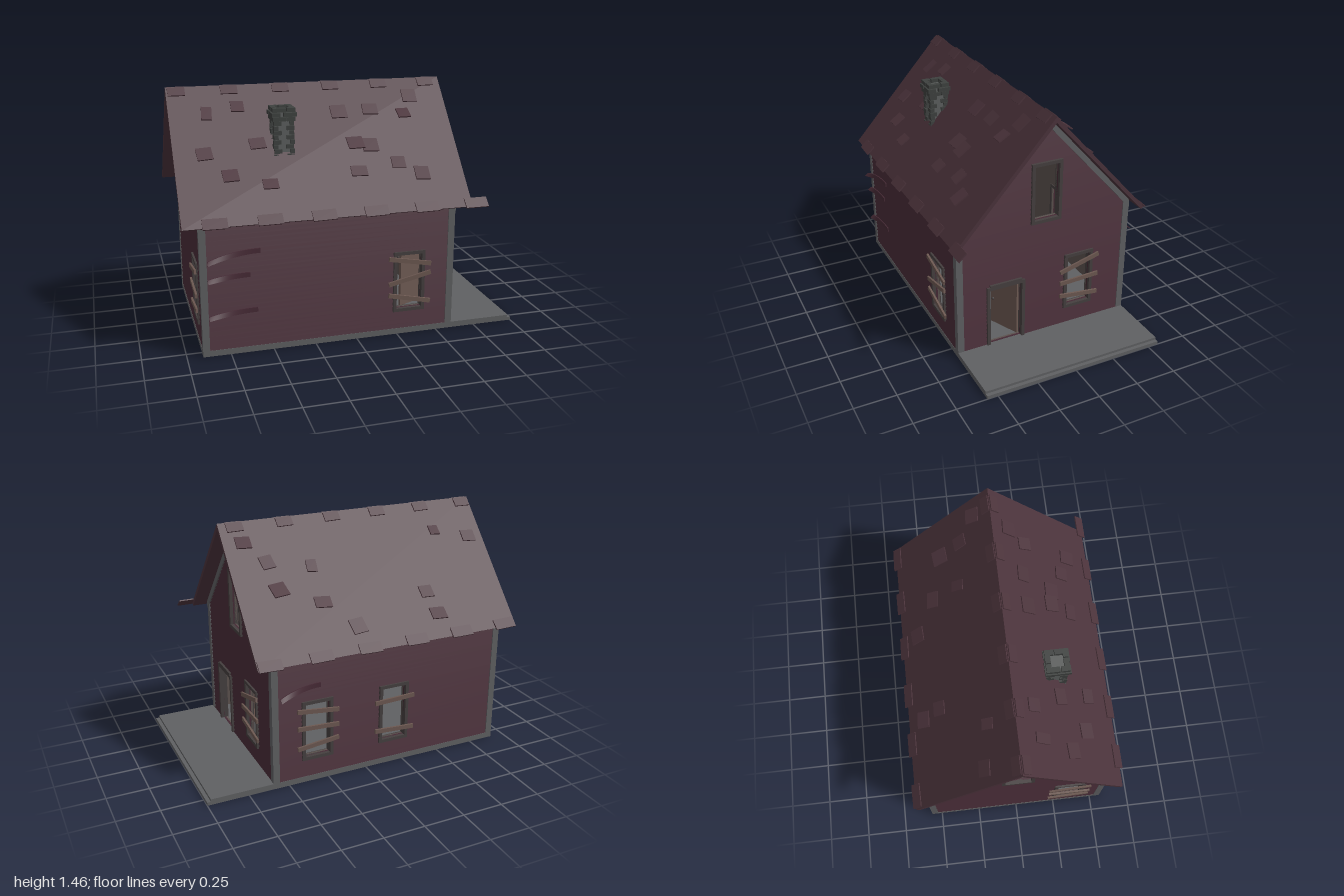
import * as THREE from 'three';
import { mergeGeometries } from 'three/addons/utils/BufferGeometryUtils.js';

const mat = (name, color) => Object.assign(new THREE.MeshStandardMaterial({ color }), { name });
const M = {
  siding: mat('burgundy siding', 0x462a35),
  roof: mat('roof shingle', 0x4b333b),
  trim: mat('grey trim', 0x5f6062),
  frame: mat('dark frame', 0x453f3f),
  plank: mat('weathered plank', 0x6c5851),
  inside: mat('interior', 0x5c524e),
  brick: mat('chimney brick', 0x3e413f),
  mortar: mat('chimney mortar', 0x5c5f5e),
};

const FLOOR = 0.035, HX = 0.755, HZ = 0.565, CX = -0.155, PEAK = 1.42, SLOPE = 1.11;
const ANGLE = Math.atan(SLOPE), RIDGE = 1.455;

let seed = 7;
const rnd = () => (seed = (seed * 16807) % 2147483647) / 2147483647;

function add(parent, name, geo, material) {
  const m = new THREE.Mesh(geo, material);
  m.name = name;
  parent.add(m);
  return m;
}
// box given by its minimum and maximum corners
function slab(x0, x1, y0, y1, z0, z1) {
  return new THREE.BoxGeometry(x1 - x0, y1 - y0, z1 - z0)
    .translate((x0 + x1) / 2, (y0 + y1) / 2, (z0 + z1) / 2);
}
function poly(points) {
  return new THREE.Shape(points.map(([x, y]) => new THREE.Vector2(x, y)));
}
function extrude(shape, z0, z1) {
  return new THREE.ExtrudeGeometry(shape, { depth: z1 - z0, bevelEnabled: false }).translate(0, 0, z0);
}
function bend(geo, rule) {
  const p = geo.attributes.position, v = new THREE.Vector3();
  for (let i = 0; i < p.count; i++) {
    v.fromBufferAttribute(p, i);
    rule(v);
    p.setXYZ(i, v.x, v.y, v.z);
  }
  geo.computeVertexNormals();
  return geo;
}

// One wall in local space: u across, y up, outer face at z = 0
function wall(name, half, gable, openings) {
  const g = new THREE.Group();
  g.name = name;
  const top = gable ? PEAK : 0.8;
  const width = y => (gable ? Math.max(0, Math.min(half - 0.01, (PEAK - y) / SLOPE)) : half - 0.01);
  const h = half - 0.012;
  const shape = poly(gable
    ? [[-h, FLOOR], [h, FLOOR], [h, 0.79], [0, PEAK], [-h, 0.79]]
    : [[-h, FLOOR], [h, FLOOR], [h, top], [-h, top]]);
  for (const o of openings) {
    const b = Math.max(o.y0, FLOOR + 0.002);
    shape.holes.push(new THREE.Path([[o.u0, b], [o.u0, o.y1], [o.u1, o.y1], [o.u1, b]]
      .map(([x, y]) => new THREE.Vector2(x, y))));
  }
  add(g, 'wallSheathing', extrude(shape, -0.024, -0.012), M.siding);
  add(g, 'wallLining', extrude(shape, -0.036, -0.024), M.inside);

  // clapboards, each thicker at its lower edge
  const boards = [], step = 0.0283;
  for (let y0 = FLOOR; y0 < top - 0.01; y0 += step) {
    const y1 = Math.min(y0 + step, top), mid = (y0 + y1) / 2;
    const cuts = openings.filter(o => mid > o.y0 - 0.01 && mid < o.y1 + 0.01).sort((a, b) => a.u0 - b.u0);
    let start = -half;
    for (const c of [...cuts, { u0: half + 0.01, u1: 0 }]) {
      const a = start, b = c.u0 - 0.01;
      start = c.u1 + 0.01;
      boards.push(bend(new THREE.BoxGeometry(1, 1, 1), v => {
        const y = v.y > 0 ? y1 : y0, w = width(y);
        v.x = THREE.MathUtils.clamp(v.x > 0 ? b : a, -w, w);
        v.z = v.z < 0 ? -0.013 : (v.y > 0 ? -0.011 : -0.002);
        v.y = y;
      }));
    }
  }
  add(g, 'clapboards', mergeGeometries(boards), M.siding);

  // casings and boards nailed over the openings
  for (const o of openings) {
    const t = 0.02, parts = [
      slab(o.u0 - t, o.u0, o.y0 - (o.door ? 0 : t), o.y1 + t, -0.042, 0.008),
      slab(o.u1, o.u1 + t, o.y0 - (o.door ? 0 : t), o.y1 + t, -0.042, 0.008),
      slab(o.u0, o.u1, o.y1, o.y1 + t * (o.door ? 1.6 : 1), -0.042, 0.008),
    ];
    if (!o.door) parts.push(slab(o.u0, o.u1, o.y0 - t, o.y0, -0.042, 0.008));
    add(g, o.door ? 'doorFrame' : 'windowFrame', mergeGeometries(parts), M.frame);
    const c = (o.u0 + o.u1) / 2;
    for (const [ya, yb] of o.planks || []) {
      const p = add(g, 'boardedPlank', new THREE.BoxGeometry(Math.hypot(0.26, yb - ya), 0.026, 0.012), M.plank);
      p.position.set(c, (ya + yb) / 2, 0.014);
      p.rotation.z = Math.atan2(yb - ya, 0.26);
    }
  }
  // rake trim under the roof
  if (gable) {
    const rake = [[0, PEAK], [-HZ, 0.793], [-HZ, 0.745], [0, PEAK - 0.048], [HZ, 0.745], [HZ, 0.793]];
    add(g, 'rakeTrim', extrude(poly(rake), -0.02, 0.003), M.trim);
  }
  return g;
}
const win = (c, planks) => ({ u0: c - 0.077, u1: c + 0.077, y0: 0.165, y1: 0.5, planks });
const attic = { u0: -0.077, u1: 0.077, y0: 0.8, y1: 1.138 };

// A clapboard whose free end (at u) curls away from the wall
function looseBoard(parent, u, y, length, out, drop) {
  const geo = new THREE.BoxGeometry(length, 0.028, 0.007, 14, 1, 1);
  bend(geo, v => {
    const t = 0.5 - v.x / length, k = t * t;
    const tilt = k * 0.9, yy = v.y;
    v.y = y + yy * Math.cos(tilt) - drop * k;
    v.z = v.z + 0.002 + out * k - yy * Math.sin(tilt);
    v.x += u + length / 2;
  });
  add(parent, 'looseClapboard', geo, M.siding);
}

function shingle(parent, x, z, w, l, tilt, yaw) {
  const s = z < 0 ? -1 : 1;
  const geo = new THREE.BoxGeometry(w, 0.008, l).translate(0, 0.003, s * l / 2);
  const m = add(parent, 'looseShingle', geo, M.roof);
  m.position.set(x, RIDGE - Math.abs(z) * SLOPE, z);
  m.rotation.set(s * (ANGLE - tilt), yaw, 0);
}

function buildRoof() {
  const g = new THREE.Group();
  g.name = 'roof';
  const shape = poly([[0, RIDGE], [-0.61, 0.778], [-0.59, 0.768], [0, PEAK], [0.59, 0.768], [0.61, 0.778]]);
  add(g, 'roofSlopes', extrude(shape, -1, 0.69).rotateY(Math.PI / 2), M.roof);
  const front = [[-0.78, 0.1], [-0.83, 0.28], [-0.7, 0.38], [-0.52, 0.25], [-0.48, 0.43], [0, 0.12], [0.06, 0.27],
    [0.15, 0.28], [0.2, 0.12], [0.4, 0.15], [0.47, 0.06], [0.3, 0.37], [0.05, 0.4], [0.43, 0.42], [-0.6, 0.08]];
  const back = [[-0.5, 0.48], [-0.47, 0.38], [0.04, 0.47], [0.2, 0.2], [0.2, 0.36], [0.47, 0.16], [0.45, 0.28],
    [-0.9, 0.16], [-0.67, 0.12], [0.57, 0.07]];
  for (const [list, s] of [[front, 1], [back, -1]]) {
    for (const [x, z] of list) {
      shingle(g, x, s * z, 0.06 + rnd() * 0.04, 0.07 + rnd() * 0.03, 0.1 + rnd() * 0.22, (rnd() - 0.5) * 0.3);
    }
    // ragged shingles along the eaves and the ridge
    for (let i = 0; i < 6; i++) {
      const x = -0.99 + i * 0.307 + 0.07;
      shingle(g, x + (s > 0 ? 0.1 : 0), s * 0.575, 0.14, 0.066, 0.08, (rnd() - 0.5) * 0.06);
      shingle(g, x - 0.02, s * 0.004, 0.1, 0.06, 0.07, (rnd() - 0.5) * 0.06);
    }
  }
  return g;
}

function buildChimney() {
  const g = new THREE.Group();
  g.name = 'chimney';
  add(g, 'chimneyCore', slab(-0.047, 0.047, 1.0, 1.335, -0.047, 0.047), M.mortar);
  const bricks = [];
  const h = 0.027;
  // alternating corner bricks up the shaft
  for (let row = 0; row < 10; row++) {
    const y = 1.015 + row * h;
    for (const sx of [-1, 1]) for (const sz of [-1, 1]) {
      const along = (row + (sx * sz > 0 ? 1 : 0)) % 2;
      const w = along ? 0.044 : 0.026, d = along ? 0.026 : 0.044, e = 0.056 + rnd() * 0.006;
      bricks.push(new THREE.BoxGeometry(w, h - 0.003, d).translate(sx * (e - w / 2), y + h / 2, sz * (e - d / 2)));
    }
  }
  // flared crown
  for (let row = 0; row < 3; row++) {
    const y = 1.285 + row * 0.026, e = row === 1 ? 0.073 : 0.066;
    for (let side = 0; side < 4; side++) for (const k of [-1, 1]) {
      const w = k > 0 === (row % 2 > 0) ? 0.076 : 0.05;
      bricks.push(new THREE.BoxGeometry(w, 0.023, 0.03)
        .translate(k * (e - w / 2), y + 0.012, e - 0.015).rotateY(side * Math.PI / 2));
    }
  }
  add(g, 'chimneyBricks', mergeGeometries(bricks), M.brick);
  g.position.set(-0.37, 0, 0.27);
  return g;
}

export function createModel() {
  const house = new THREE.Group();
  house.name = 'abandonedHouse';

  // foundation with porch and a low step
  add(house, 'foundation', slab(-0.91, 0.978, 0, FLOOR, -HZ, HZ), M.trim);
  add(house, 'porchStep', slab(0.978, 1, 0, 0.02, -HZ, HZ), M.trim);

  const front = wall('frontWall', HX, false,
    [win(0.32 - CX, [[0.485, 0.437], [0.325, 0.383], [0.257, 0.2]])]);
  front.position.set(CX, 0, HZ);
  looseBoard(front, -0.715, 0.612, 0.3, 0.04, 0.04);
  looseBoard(front, -0.715, 0.475, 0.24, 0.025, 0.015);
  looseBoard(front, -0.715, 0.26, 0.28, 0.025, 0.02);

  const back = wall('backWall', HX, false, [
    win(-(0.32 - CX), [[0.47, 0.44], [0.36, 0.345], [0.23, 0.26]]),
    win(-(-0.18 - CX), [[0.42, 0.43], [0.235, 0.22]])]);
  back.rotation.y = Math.PI;
  back.position.set(CX, 0, -HZ);
  looseBoard(back, -0.715, 0.612, 0.26, 0.04, 0.04);

  const right = wall('doorGable', HZ, true, [attic,
    { u0: -0.357, u1: -0.152, y0: FLOOR, y1: 0.412, door: true },
    win(0.23, [[0.412, 0.483], [0.335, 0.345], [0.247, 0.215]])]);
  right.rotation.y = Math.PI / 2;
  right.position.x = 0.6;

  const left = wall('rearGable', HZ, true, [attic,
    win(0.335, [[0.43, 0.48], [0.34, 0.334], [0.21, 0.245]])]);
  left.rotation.y = -Math.PI / 2;
  left.position.x = -0.91;
  house.add(front, back, right, left);

  // corner posts
  for (const x of [-0.89, 0.58]) for (const s of [-1, 1]) {
    add(house, 'cornerPost', slab(x - 0.02, x + 0.02, FLOOR, 0.79, s * 0.545 - 0.02, s * 0.545 + 0.02), M.trim);
  }

  // door standing ajar
  const door = new THREE.Group();
  door.name = 'openDoor';
  add(door, 'doorPanel', slab(0, 0.2, FLOOR, 0.41, -0.008, 0.008), M.plank);
  for (const z of [-0.014, 0.014]) {
    add(door, 'doorKnob', new THREE.SphereGeometry(0.009, 10, 8).translate(0.18, 0.21, z), M.frame);
  }
  door.position.set(0.565, 0.001, 0.16);
  door.rotation.y = -2.71;
  house.add(door);

  house.add(buildRoof(), buildChimney());
  return house;
}
